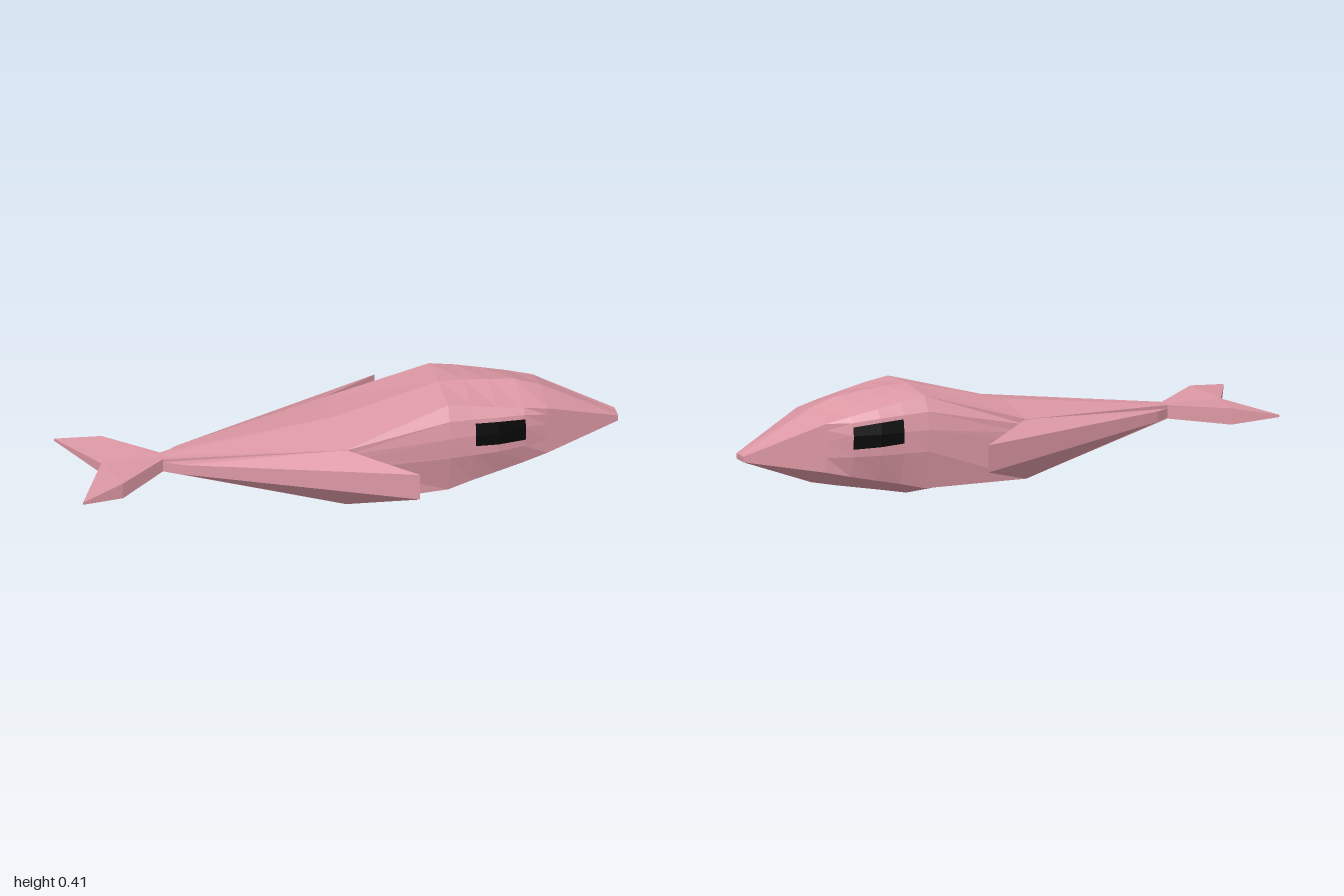
import * as THREE from 'three';
import { ConvexGeometry } from 'three/addons/geometries/ConvexGeometry.js';

const skin = new THREE.MeshStandardMaterial({ color: 0xdc98a4, flatShading: true });
const black = new THREE.MeshStandardMaterial({ color: 0x080808, flatShading: true, side: THREE.DoubleSide });

// Join rows of [x, y, z] points with quads; closed rows become capped rings
function skinRows(rows, closed, flip = false) {
  const n = rows[0].length, index = [];
  const tri = (a, b, c) => (flip ? index.push(a, c, b) : index.push(a, b, c));
  for (let i = 0; i < rows.length - 1; i++) {
    for (let j = 0; j < (closed ? n : n - 1); j++) {
      const k = (j + 1) % n, a = i * n + j, b = i * n + k;
      tri(a, b, b + n);
      tri(a, b + n, a + n);
    }
  }
  if (closed) {
    const last = (rows.length - 1) * n;
    for (let j = 1; j < n - 1; j++) {
      tri(0, j + 1, j);
      tri(last, last + j, last + j + 1);
    }
  }
  const g = new THREE.BufferGeometry();
  g.setAttribute('position', new THREE.Float32BufferAttribute(rows.flat(2), 3));
  g.setIndex(index);
  const flat = g.toNonIndexed();
  flat.computeVertexNormals();
  return flat;
}

// Half cross-sections from crown to keel: x, then [y, z] pairs
const sections = [
  [-0.66, [[0.225, 0], [0.225, 0.025], [0.215, 0.025], [0.205, 0.025], [0.2, 0.025], [0.175, 0.025], [0.175, 0]]],
  [-0.03, [[0.31, 0], [0.28, 0.2], [0.26, 0.2], [0.23, 0.2], [0.2, 0.2], [0.06, 0.195], [0.03, 0]]],
  [0.35, [[0.41, 0], [0.397, 0.16], [0.345, 0.19], [0.28, 0.2], [0.2, 0.196], [0.057, 0.163], [0.003, 0]]],
  [0.44, [[0.405, 0], [0.383, 0.158], [0.34, 0.182], [0.28, 0.192], [0.2, 0.19], [0.08, 0.155], [0.022, 0]]],
  [0.53, [[0.398, 0], [0.365, 0.152], [0.335, 0.177], [0.28, 0.187], [0.2, 0.183], [0.1, 0.148], [0.04, 0]]],
  [0.63, [[0.387, 0], [0.345, 0.143], [0.325, 0.16], [0.28, 0.168], [0.2, 0.162], [0.123, 0.14], [0.06, 0]]],
  [0.72, [[0.355, 0], [0.325, 0.13], [0.3, 0.13], [0.26, 0.13], [0.2, 0.13], [0.145, 0.13], [0.08, 0]]],
  [1, [[0.21, 0], [0.21, 0.03], [0.207, 0.03], [0.203, 0.03], [0.2, 0.03], [0.19, 0.03], [0.19, 0]]],
];

// Eye patch columns, hugging the side of the head
const eyeColumns = [
  [0.445, [[0.327, 0.189], [0.28, 0.197], [0.24, 0.197]]],
  [0.53, [[0.322, 0.185], [0.28, 0.192], [0.234, 0.191]]],
  [0.632, [[0.311, 0.167], [0.28, 0.172], [0.23, 0.17]]],
];

// Corner pairs: x, top y, bottom y, z
const finCorners = [
  [-0.66, 0.212, 0.18, 0.025], [-0.6, 0.218, 0.18, 0.07],
  [-0.03, 0.28, 0.06, 0.197], [0.2, 0.25, 0.15, 0.38],
];
const tailCorners = [
  [-0.66, 0.225, 0.175, 0], [-0.66, 0.225, 0.175, 0.025], [-0.84, 0.23, 0.17, 0.18],
  [-1, 0.204, 0.196, 0.243], [-0.88, 0.22, 0.18, 0],
];

const wedge = (corners, side) => new ConvexGeometry(corners.flatMap(([x, top, bottom, z]) => [
  new THREE.Vector3(x, top, side * z), new THREE.Vector3(x, bottom, side * z),
]));

export function createModel() {
  const model = new THREE.Group();
  model.name = 'fish';
  const add = (name, geometry, material) => {
    const mesh = new THREE.Mesh(geometry, material);
    mesh.name = name;
    model.add(mesh);
  };

  // Body with closed rings made by mirroring each half-section
  const rings = sections.map(([x, half]) => [
    ...half.map(([y, z]) => [x, y, z]),
    ...half.slice(1, -1).reverse().map(([y, z]) => [x, y, -z]),
  ]);
  add('body', skinRows(rings, true), skin);

  // Paired fins, tail lobes and eyes; the head points along +x
  for (const side of [1, -1]) {
    const label = side > 0 ? 'Front' : 'Back';
    add('sideFin' + label, wedge(finCorners, side), skin);
    add('tailLobe' + label, wedge(tailCorners, side), skin);
    const eye = eyeColumns.map(([x, pts]) => pts.map(([y, z]) => [x, y, side * z]));
    add('eye' + label, skinRows(eye, false, side < 0), black);
  }
  return model;
}
